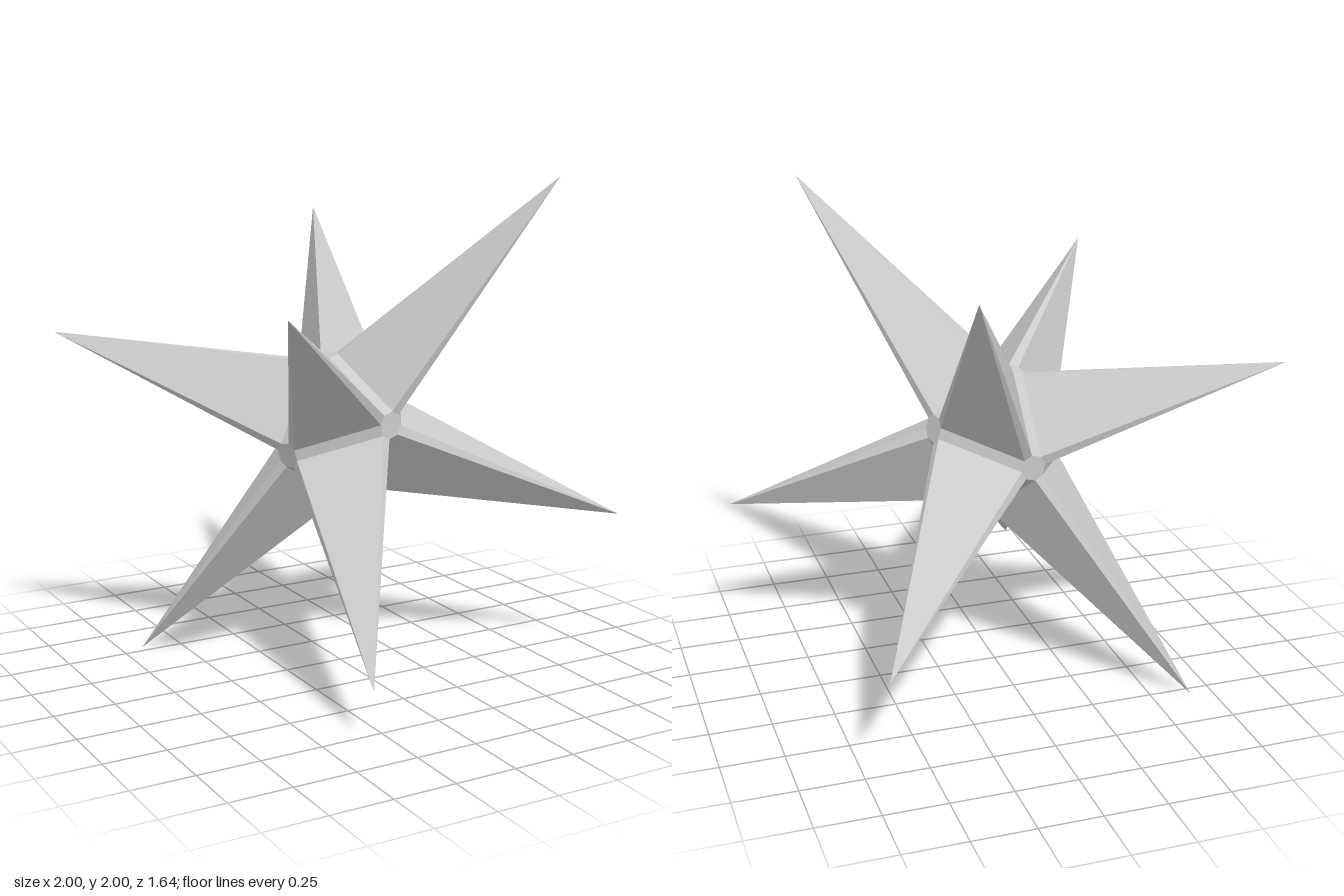
import * as THREE from 'three';

// Core dimensions in the star's own skewed axes, where spike tips sit at (+-1, +-1, +-1)
const A = 0.41; // distance of the hub caps
const B = 0.032; // half width of the strips between spikes
const C = 0.07; // half width of the hub caps

const frame = new THREE.Matrix4()
  .makeBasis(
    new THREE.Vector3(0.662, 0.21, -0.14),
    new THREE.Vector3(-0.17, 0.69, 0),
    new THREE.Vector3(0.168, 0.1, 0.68)
  )
  .setPosition(0, 1, 0);

const material = new THREE.MeshStandardMaterial({ color: 0xcccccc, flatShading: true });

// Mesh from triangles, each turned to face away from the core centre
function facets(name, triangles) {
  const points = [];
  for (const tri of triangles) {
    const [p, q, r] = tri.map((v) => new THREE.Vector3(...v));
    const normal = q.clone().sub(p).cross(r.clone().sub(p));
    points.push(...(normal.dot(p) < 0 ? [p, r, q] : [p, q, r]));
  }
  const geometry = new THREE.BufferGeometry().setFromPoints(points);
  geometry.applyMatrix4(frame);
  geometry.computeVertexNormals();
  const mesh = new THREE.Mesh(geometry, material);
  mesh.name = name;
  return mesh;
}

// Fan of triangles over a convex polygon
const fan = (ring) => ring.slice(2).map((p, i) => [ring[0], ring[i + 1], p]);

// Point with its coordinates cycled so that the first one lies on the given axis
function onAxis(axis, u, v, w) {
  const p = [0, 0, 0];
  p[axis] = u;
  p[(axis + 1) % 3] = v;
  p[(axis + 2) % 3] = w;
  return p;
}

export function createModel() {
  const star = new THREE.Group();
  star.name = 'spikedStar';
  const signs = [-1, 1];

  // Eight six-sided spikes with three wide and three narrow faces
  const base = [[A, B, C], [A, C, B], [C, A, B], [B, A, C], [B, C, A], [C, B, A]];
  for (const x of signs) for (const y of signs) for (const z of signs) {
    const ring = base.map((p) => [p[0] * x, p[1] * y, p[2] * z]);
    star.add(facets('spike', ring.map((p, i) => [p, ring[(i + 1) % 6], [x, y, z]])));
  }

  const octagon = [[C, B], [B, C], [-B, C], [-C, B], [-C, -B], [-B, -C], [B, -C], [C, -B]];
  for (let axis = 0; axis < 3; axis++) {
    // Six small octagonal caps where four spikes meet
    for (const s of signs) {
      star.add(facets('hubCap', fan(octagon.map(([v, w]) => onAxis(axis, s * A, v, w)))));
    }
    // Twelve narrow strips between neighbouring spikes
    for (const s of signs) for (const t of signs) {
      star.add(facets('valleyStrip', fan([
        onAxis(axis, -B, s * A, t * C),
        onAxis(axis, B, s * A, t * C),
        onAxis(axis, B, s * C, t * A),
        onAxis(axis, -B, s * C, t * A),
      ])));
    }
  }
  return star;
}
